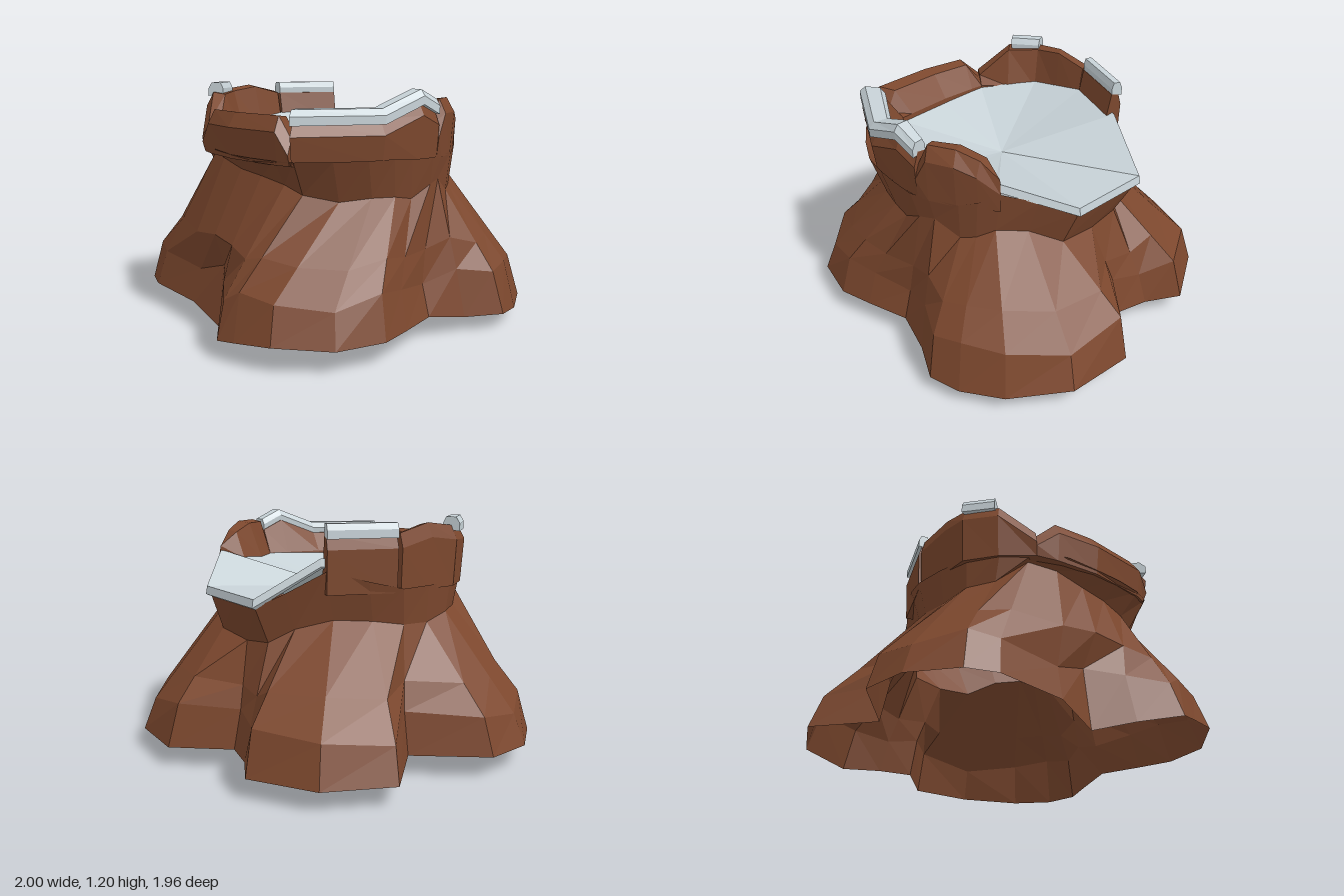
import * as THREE from 'three';

const bark = new THREE.MeshStandardMaterial({ color: 0x7d482e, flatShading: true, side: THREE.DoubleSide });
bark.name = 'bark brown';
const snow = new THREE.MeshStandardMaterial({ color: 0xc8d3d8, flatShading: true, side: THREE.DoubleSide });
snow.name = 'snow white';

// Skin a list of closed rows of points; optionally close both ends with fans
function loft(name, rows, material, caps = false) {
  const n = rows[0].length;
  const index = [];
  for (let r = 0; r < rows.length - 1; r++) {
    for (let c = 0; c < n; c++) {
      const a = r * n + c, b = r * n + (c + 1) % n;
      index.push(a, a + n, b, b, a + n, b + n);
    }
  }
  if (caps) {
    const e = (rows.length - 1) * n;
    for (let i = 1; i < n - 1; i++) index.push(0, i, i + 1, e, e + i + 1, e + i);
  }
  const indexed = new THREE.BufferGeometry();
  indexed.setAttribute('position', new THREE.Float32BufferAttribute(rows.flat(2), 3));
  indexed.setIndex(index);
  const geometry = indexed.toNonIndexed();
  geometry.computeVertexNormals();
  const mesh = new THREE.Mesh(geometry, material);
  mesh.name = name;
  return mesh;
}

const mix = (a, b, t) => a + (b - a) * t;

// Root outline on the ground: x, z, y
const ground = [
  [0.98, -0.02, 0.08], [0.82, 0.11, 0.08], [0.69, 0.27, 0.11], [0.66, 0.5, 0.11], [0.63, 0.68, 0.11],
  [0.48, 0.88, 0.11], [0.22, 0.98, 0.12], [0.02, 0.95, 0.1], [-0.08, 0.93, 0.09], [-0.2, 0.74, 0.05],
  [-0.31, 0.56, 0], [-0.5, 0.5, 0.09], [-0.83, 0.36, 0.11], [-0.94, 0.25, 0.11], [-1, 0, 0.11],
  [-0.92, -0.23, 0.11], [-0.56, -0.4, 0.11], [-0.67, -0.73, 0.1], [-0.4, -0.95, 0.1], [-0.04, -0.98, 0.1],
  [0.08, -0.82, 0.1], [0.22, -0.71, 0.1], [0.52, -0.84, 0.1], [0.82, -0.68, 0.1], [0.97, -0.4, 0.08],
  [1, -0.18, 0.07],
];
// Matching outline under the rim: x, z, y
const shoulder = [
  [0.68, -0.05, 0.87], [0.68, 0.1, 0.87], [0.67, 0.2, 0.87], [0.61, 0.32, 0.87], [0.56, 0.42, 0.88],
  [0.48, 0.53, 0.88], [0.35, 0.63, 0.88], [0.2, 0.72, 0.88], [0.1, 0.71, 0.88], [-0.05, 0.66, 0.88],
  [-0.2, 0.59, 0.88], [-0.35, 0.5, 0.89], [-0.47, 0.38, 0.89], [-0.55, 0.22, 0.88], [-0.57, 0.05, 0.88],
  [-0.53, -0.12, 0.88], [-0.47, -0.28, 0.88], [-0.35, -0.4, 0.92], [-0.19, -0.52, 0.97], [-0.03, -0.63, 0.87],
  [0.08, -0.71, 0.81], [0.25, -0.64, 0.81], [0.46, -0.55, 0.83], [0.56, -0.39, 0.9], [0.64, -0.24, 0.95],
  [0.67, -0.14, 0.9],
];
// Swelling of the trunk above the deep front valley, by outline position
const swelling = { 9: 1.05, 10: 1.15, 11: 1.1 };

// Broken rim pieces: outer x, outer z, inner x, inner z, top y
const rims = {
  frontRim: [[0.18, 0.73, 0.15, 0.52, 0.98], [0.11, 0.72, 0.09, 0.5, 1.08], [-0.2, 0.6, -0.14, 0.42, 1.08],
    [-0.4, 0.47, -0.31, 0.34, 1.08], [-0.49, 0.39, -0.37, 0.31, 0.98]],
  leftSideRim: [[0.64, -0.24, 0.6, -0.21, 1.02], [0.67, -0.14, 0.53, -0.16, 1.1],
    [0.69, -0.04, 0.52, -0.02, 1.14], [0.69, 0.1, 0.55, 0.11, 1.14], [0.68, 0.16, 0.56, 0.13, 1.03]],
  frontLeftRim: [[0.68, 0.16, 0.56, 0.13, 1.09], [0.64, 0.27, 0.5, 0.22, 1.14],
    [0.53, 0.47, 0.38, 0.37, 1.06], [0.19, 0.73, 0.15, 0.52, 1.06]],
  rightSideRim: [[-0.49, 0.39, -0.37, 0.31, 1.0], [-0.57, 0.22, -0.42, 0.17, 1.15],
    [-0.6, 0.04, -0.47, 0.03, 1.16], [-0.53, -0.1, -0.43, -0.11, 1.18], [-0.46, -0.28, -0.38, -0.25, 1.14]],
  backRightRim: [[-0.45, -0.3, -0.37, -0.25, 1.14], [-0.2, -0.53, -0.14, -0.47, 1.14]],
};

// Bark wall: bulging outside, sloped inner face, chamfered top
function rimSection([ox, oz, ix, iz, y]) {
  const at = (t, h) => [mix(ix, ox, t), h, mix(iz, oz, t)];
  return [at(-0.05, 0.86), at(0, 0.95), at(0.4, y - 0.01), at(0.8, y), at(1.03, y - 0.07), at(0.93, 0.86)];
}

// Bevelled snow strip lying on a rim piece
function capSection([ox, oz, ix, iz, y]) {
  const at = (t, h) => [mix(ix, ox, t), y + h, mix(iz, oz, t)];
  return [at(0.42, -0.01), at(0.4, 0.02), at(0.52, 0.05), at(0.9, 0.05), at(1.05, 0.02), at(1.05, -0.02)];
}

export function createModel() {
  const model = new THREE.Group();
  model.name = 'snowyStump';

  // Trunk with flared roots, open underneath
  const base = ground.map(([x, z, y]) => [x, y, z]);
  const knee = ground.map(([x, z], i) => [x * 0.94, 0.29 + 0.03 * Math.sin(i * 2.1), z * 0.94]);
  const waist = shoulder.map(([x, z, y], i) => {
    const level = z > 0.3 ? THREE.MathUtils.clamp(0.77 - 0.22 * x, 0.69, 0.84) : 0.74;
    return [x * 0.97, Math.min(level, y - 0.19 + 0.15 * (z > 0)) + 0.012 * Math.sin(i * 1.7), z * 0.86];
  });
  const flank = knee.map((p, i) => {
    const s = swelling[i] ?? 1;
    const [x, y, z] = p.map((v, k) => mix(v, waist[i][k], 0.35));
    return [x * s, y, z * s];
  });
  const collar = shoulder.map(([x, z, y]) => [x, y, z]);
  model.add(loft('trunkAndRoots', [base, knee, flank, waist, collar], bark));

  // Rim pieces
  for (const [name, points] of Object.entries(rims)) {
    model.add(loft(name, points.map(rimSection), bark, true));
  }

  // Snow strips on the rim
  const capped = {
    frontLeftSnowCap: rims.frontLeftRim,
    rightSnowCap: [[-0.57, 0.2, -0.45, 0.17, 1.15], [-0.61, 0.04, -0.48, 0.03, 1.15]],
    backRightSnowCap: rims.backRightRim,
  };
  for (const [name, points] of Object.entries(capped)) {
    model.add(loft(name, points.map(capSection), snow, true));
  }

  // Shallow bowl of snow that spills over the broken back
  const edge = [
    [0.54, -0.01, 0.95], [0.56, 0.14, 0.95], [0.39, 0.38, 0.94], [0.15, 0.54, 0.93], [-0.14, 0.44, 0.93],
    [-0.38, 0.32, 0.94], [-0.48, 0.03, 0.98], [-0.39, -0.26, 1.02], [-0.16, -0.52, 1.03],
    [0.08, -0.73, 0.85], [0.48, -0.56, 0.86], [0.64, -0.23, 1.0], [0.53, -0.17, 0.96],
  ];
  const ring = (s, drop) => edge.map(([x, z, y]) => [x * s, y - drop, z * s]);
  const centre = edge.map(() => [0.07, 0.82, 0]);
  model.add(loft('snowBowl', [ring(0.97, 0.05), ring(1, 0.04), ring(0.99, 0), centre], snow));

  return model;
}
